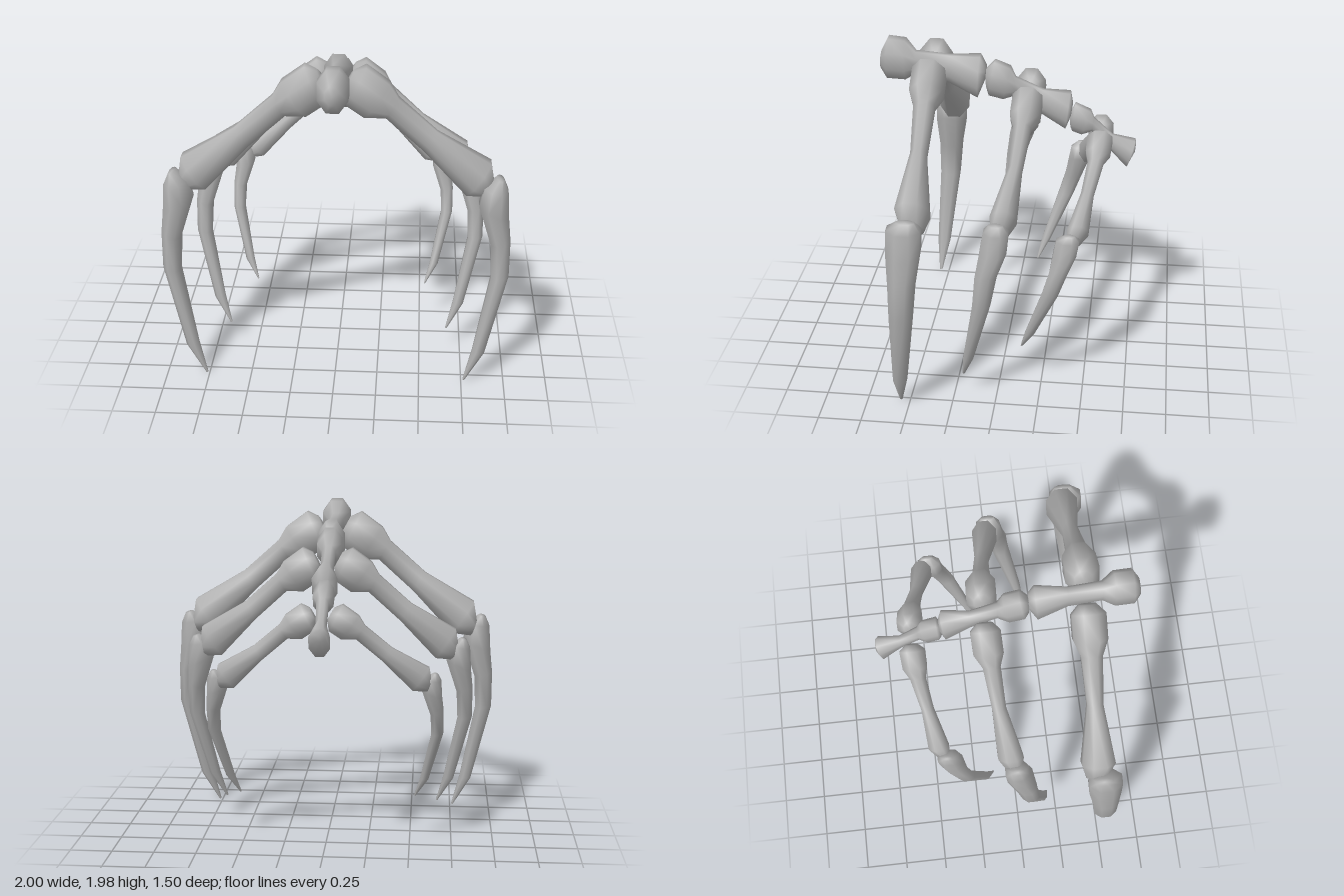
import * as THREE from 'three';

const SIDES = 8;
const bone = new THREE.MeshStandardMaterial({ color: 0xb0b0b0 });
bone.name = 'bone grey';

// Skin eight-sided rings. Each ring is { a, b, v }: two opposite points and the sideways half width.
function loft(name, rings) {
  const pos = [], idx = [];
  const grow = 1 / Math.cos(Math.PI / SIDES);
  const centres = rings.map(({ a, b }) => a.clone().add(b).multiplyScalar(0.5));
  rings.forEach(({ a, b, v }, i) => {
    const u = a.clone().sub(b).multiplyScalar(0.5);
    for (let k = 0; k < SIDES; k++) {
      const t = ((k + 0.5) / SIDES) * Math.PI * 2;
      const p = centres[i].clone()
        .addScaledVector(u, Math.cos(t) * grow)
        .addScaledVector(v, Math.sin(t) * grow);
      pos.push(p.x, p.y, p.z);
    }
  });
  const last = rings.length - 1;
  const capA = rings.length * SIDES, capB = capA + 1;
  pos.push(...centres[0].toArray(), ...centres[last].toArray());
  for (let k = 0; k < SIDES; k++) {
    const n = (k + 1) % SIDES;
    for (let i = 0; i < last; i++) {
      const p = i * SIDES, q = p + SIDES;
      idx.push(p + k, p + n, q + n, p + k, q + n, q + k);
    }
    idx.push(capA, n, k, capB, last * SIDES + k, last * SIDES + n);
  }
  // Turn the faces outwards if the rings run the other way round
  const at = (i) => new THREE.Vector3().fromArray(pos, i * 3);
  let volume = 0;
  for (let i = 0; i < idx.length; i += 3) {
    volume += at(idx[i]).dot(at(idx[i + 1]).cross(at(idx[i + 2])));
  }
  if (volume < 0) idx.reverse();
  const g = new THREE.BufferGeometry();
  g.setAttribute('position', new THREE.Float32BufferAttribute(pos, 3));
  g.setIndex(idx);
  g.computeVertexNormals();
  const mesh = new THREE.Mesh(g, bone);
  mesh.name = name;
  return mesh;
}

// Vertebrae: top z, top y, bottom z, bottom y, half width
const vertebrae = {
  frontVertebra: [
    [0.74, 1.9, 0.75, 1.8, 0.04], [0.7, 1.98, 0.71, 1.74, 0.085],
    [0.6, 1.97, 0.6, 1.735, 0.085], [0.54, 1.9, 0.53, 1.775, 0.048],
    [0.345, 1.885, 0.345, 1.72, 0.045], [0.165, 1.89, 0.18, 1.64, 0.083],
    [0.13, 1.83, 0.135, 1.75, 0.045],
  ],
  middleVertebra: [
    [0.13, 1.81, 0.13, 1.7, 0.045], [0.08, 1.86, 0.115, 1.655, 0.073],
    [-0.01, 1.825, 0.03, 1.635, 0.073], [-0.04, 1.765, -0.05, 1.66, 0.04],
    [-0.2, 1.695, -0.19, 1.55, 0.038], [-0.36, 1.685, -0.335, 1.465, 0.073],
    [-0.375, 1.61, -0.365, 1.54, 0.04],
  ],
  rearVertebra: [
    [-0.36, 1.55, -0.365, 1.47, 0.035], [-0.39, 1.615, -0.375, 1.45, 0.058],
    [-0.48, 1.575, -0.43, 1.43, 0.058], [-0.5, 1.53, -0.49, 1.45, 0.035],
    [-0.61, 1.43, -0.6, 1.335, 0.03], [-0.745, 1.4, -0.7, 1.235, 0.06],
    [-0.75, 1.385, -0.745, 1.33, 0.035],
  ],
};

// Rib profiles seen from the front: outer x, outer y, inner x, inner y
const shaft = [
  [0.1, 1.89, 0.045, 1.79], [0.17, 1.92, 0.06, 1.7], [0.3, 1.825, 0.16, 1.63],
  [0.35, 1.74, 0.28, 1.625], [0.57, 1.545, 0.495, 1.43],
  [0.875, 1.365, 0.74, 1.17], [0.895, 1.25, 0.86, 1.155],
];
const claw = [
  [0.95, 1.27, 0.91, 1.28], [0.975, 1.21, 0.84, 1.23], [0.985, 1.05, 0.815, 1.12],
  [1, 0.91, 0.89, 0.88], [1, 0.69, 0.9, 0.67], [0.88, 0.19, 0.81, 0.2],
  [0.77, 0, 0.76, 0.005],
];

// Each pair: x scale, y scale and offset of shaft and claw, then z centres and half depths along them
const pairs = [
  {
    name: 'front', sx: 1, shaftY: [1, 0], clawY: [1, 0],
    shaftZ: [0.445, 0.445, 0.445, 0.445, 0.445, 0.44, 0.43],
    shaftD: [0.05, 0.095, 0.095, 0.06, 0.045, 0.095, 0.06],
    clawZ: [0.46, 0.475, 0.48, 0.49, 0.5, 0.54, 0.555],
    clawD: [0.05, 0.095, 0.095, 0.075, 0.065, 0.04, 0.008],
  },
  {
    name: 'middle', sx: 0.865, shaftY: [0.877, 0.081], clawY: [0.844, 0.14],
    shaftZ: [-0.12, -0.12, -0.115, -0.105, -0.085, -0.045, -0.03],
    shaftD: [0.045, 0.085, 0.085, 0.05, 0.04, 0.073, 0.045],
    clawZ: [-0.015, -0.015, 0, 0.04, 0.065, 0.155, 0.195],
    clawD: [0.04, 0.07, 0.075, 0.06, 0.05, 0.03, 0.007],
  },
  {
    name: 'rear', sx: 0.69, shaftY: [0.67, 0.2145], clawY: [0.64, 0.27],
    shaftZ: [-0.54, -0.54, -0.535, -0.525, -0.49, -0.45, -0.43],
    shaftD: [0.035, 0.073, 0.07, 0.045, 0.036, 0.06, 0.035],
    clawZ: [-0.41, -0.4, -0.385, -0.35, -0.305, -0.185, -0.135],
    clawD: [0.03, 0.065, 0.065, 0.052, 0.047, 0.027, 0.006],
  },
];

function ribPart(name, profile, side, sx, [sy, oy], zs, ds) {
  return loft(name, profile.map(([ox, y1, ix, y2], i) => ({
    a: new THREE.Vector3(side * ox * sx, y1 * sy + oy, zs[i]),
    b: new THREE.Vector3(side * ix * sx, y2 * sy + oy, zs[i]),
    v: new THREE.Vector3(0, 0, ds[i]),
  })));
}

export function createModel() {
  const model = new THREE.Group();
  model.name = 'ribCage';

  // Spine
  const spine = new THREE.Group();
  spine.name = 'spine';
  for (const [name, rows] of Object.entries(vertebrae)) {
    spine.add(loft(name, rows.map(([tz, ty, bz, by, w]) => ({
      a: new THREE.Vector3(0, ty, tz),
      b: new THREE.Vector3(0, by, bz),
      v: new THREE.Vector3(w, 0, 0),
    }))));
  }
  model.add(spine);

  // Mirrored ribs, each a shaft and a curved claw
  for (const p of pairs) {
    for (const side of [1, -1]) {
      const rib = new THREE.Group();
      rib.name = p.name + (side > 0 ? 'LeftRib' : 'RightRib');
      rib.add(
        ribPart('ribShaft', shaft, side, p.sx, p.shaftY, p.shaftZ, p.shaftD),
        ribPart('ribClaw', claw, side, p.sx, p.clawY, p.clawZ, p.clawD),
      );
      model.add(rib);
    }
  }
  return model;
}
